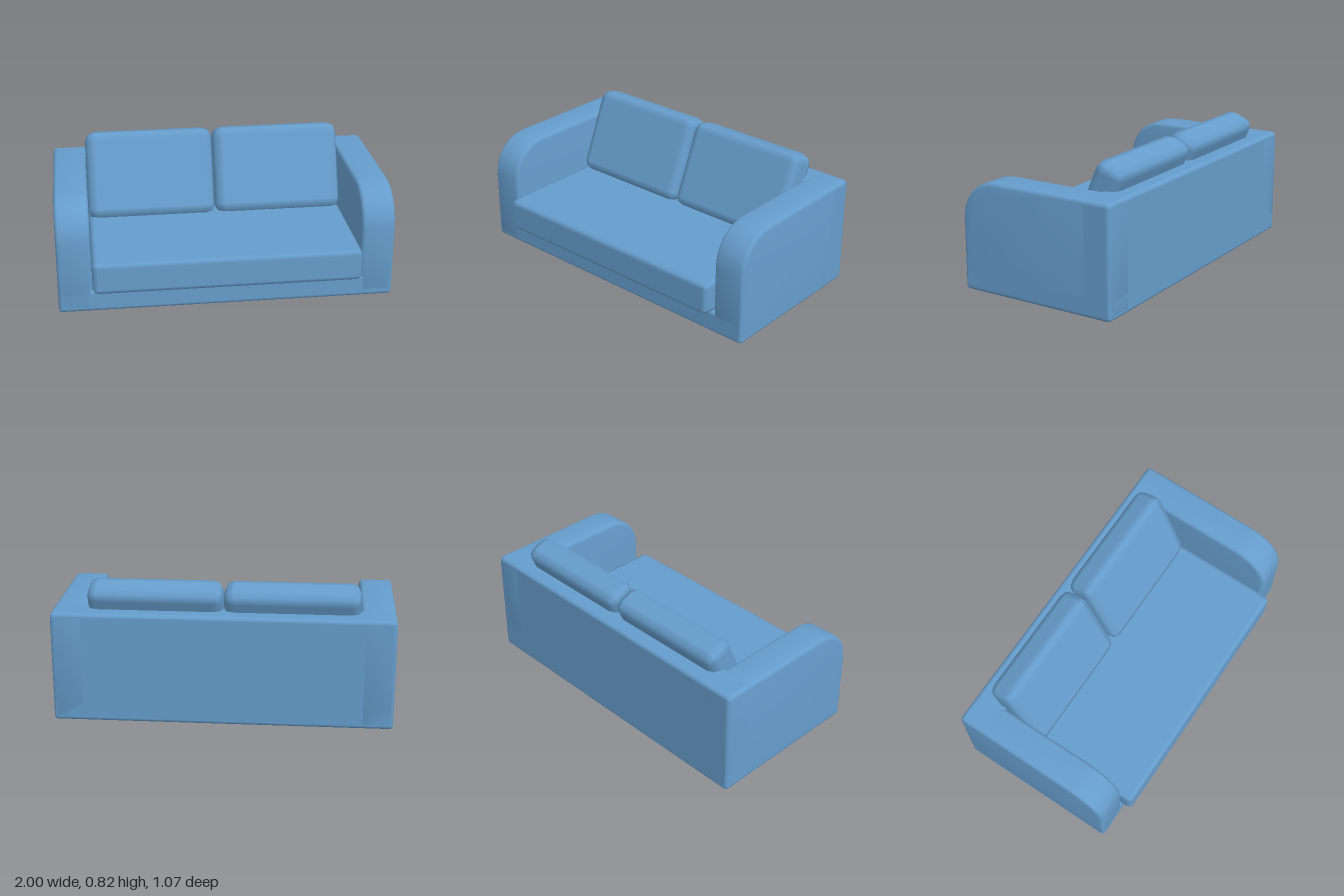
import * as THREE from 'three';
import { toCreasedNormals } from 'three/addons/utils/BufferGeometryUtils.js';
import { RoundedBoxGeometry } from 'three/addons/geometries/RoundedBoxGeometry.js';

const BACK = -0.533, FRONT = 0.467, TOP = 0.667, BASE_TOP = 0.135;

// Box with soft edges, given by its limits on each axis
function softBox(name, material, [x0, x1], [y0, y1], [z0, z1], radius, segments = 1) {
  const mesh = new THREE.Mesh(new RoundedBoxGeometry(x1 - x0, y1 - y0, z1 - z0, segments, radius), material);
  mesh.position.set((x0 + x1) / 2, (y0 + y1) / 2, (z0 + z1) / 2);
  mesh.name = name;
  return mesh;
}

// Side profile of an arm with a large curve at the upper front
function armGeometry() {
  const r = 0.03, big = 0.23, bevel = 0.022, width = 0.2;
  const profile = new THREE.Shape();
  profile.absarc(FRONT - r, r, r, -Math.PI / 2, 0, false);
  profile.absarc(FRONT - big, TOP - big, big, 0, Math.PI / 2, false);
  profile.absarc(BACK + r, TOP - r, r, Math.PI / 2, Math.PI, false);
  profile.absarc(BACK + r, r, r, Math.PI, Math.PI * 1.5, false);
  const geometry = new THREE.ExtrudeGeometry(profile, {
    depth: width - 2 * bevel, curveSegments: 3,
    bevelThickness: bevel, bevelSize: bevel, bevelOffset: -bevel, bevelSegments: 3,
  });
  geometry.translate(0, 0, -(width - 2 * bevel) / 2);
  geometry.rotateY(-Math.PI / 2);
  return toCreasedNormals(geometry, 0.9);
}

export function createModel() {
  const sofa = new THREE.Group();
  sofa.name = 'sofa';
  const fabric = new THREE.MeshStandardMaterial({ color: 0x669dcc });
  fabric.name = 'blue fabric';

  // Frame: base and backrest run the full width, behind and below the arms
  sofa.add(softBox('base', fabric, [-1, 1], [0, BASE_TOP], [BACK, FRONT], 0.022, 2));
  sofa.add(softBox('backrest', fabric, [-1, 1], [0, TOP], [BACK, -0.34], 0.025, 2));

  // Arms
  const arm = armGeometry();
  for (const [name, side] of [['leftArm', 1], ['rightArm', -1]]) {
    const mesh = new THREE.Mesh(arm, fabric);
    mesh.name = name;
    mesh.position.x = side * 0.9;
    sofa.add(mesh);
  }

  // Seat cushion, jutting out past the arms
  sofa.add(softBox('seatCushion', fabric, [-0.798, 0.798], [BASE_TOP, 0.334], [-0.36, 0.533], 0.032));

  // Two leaning back cushions
  for (const [name, side] of [['leftBackCushion', 1], ['rightBackCushion', -1]]) {
    const cushion = new THREE.Mesh(new RoundedBoxGeometry(0.796, 0.547, 0.19, 1, 0.06), fabric);
    cushion.name = name;
    cushion.position.set(side * 0.4, 0.555, -0.289);
    cushion.rotation.x = -0.4;
    sofa.add(cushion);
  }
  return sofa;
}
